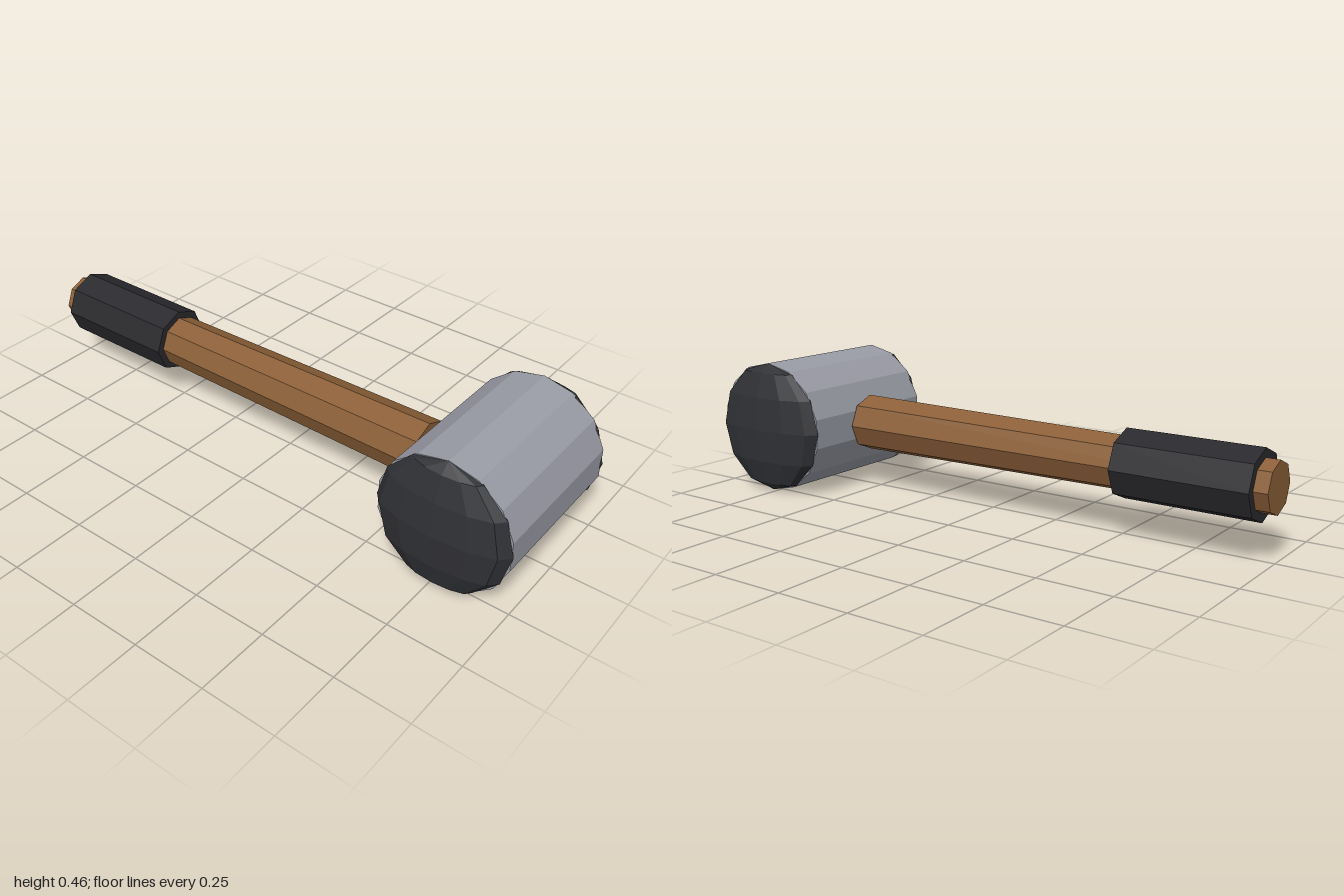
import * as THREE from 'three';

const AXIS_Y = 0.228; // height shared by the handle and head axes
const HEAD_X = 0.772;
const HEAD_R = 0.228;

function part(name, geometry, color, x, z = 0) {
  const material = new THREE.MeshStandardMaterial({ color, flatShading: true });
  const mesh = new THREE.Mesh(geometry, material);
  mesh.name = name;
  mesh.position.set(x, AXIS_Y, z);
  return mesh;
}

// Eight-sided bar along x, from x0 (radius r0) to x1 (radius r1)
function bar(name, x0, x1, r0, r1, color) {
  const geometry = new THREE.CylinderGeometry(r1, r0, x1 - x0, 8).rotateZ(-Math.PI / 2);
  return part(name, geometry, color, (x0 + x1) / 2);
}

export function createModel() {
  const mallet = new THREE.Group();
  mallet.name = 'mallet';

  // Tapered wooden handle with a rubber grip
  mallet.add(bar('handle', -1, 0.545, 0.083, 0.099, 0x8b5f38));
  mallet.add(bar('grip', -0.955, -0.503, 0.113, 0.113, 0x2a2a2e));

  // Metal head lying along z
  const head = new THREE.CylinderGeometry(HEAD_R, HEAD_R, 0.544, 14).rotateX(Math.PI / 2);
  mallet.add(part('head', head, 0x9a9ca6, HEAD_X));

  // Flattened rubber domes on both striking faces
  for (const side of [1, -1]) {
    const dome = new THREE.SphereGeometry(HEAD_R, 12, 6).scale(1, 1, 0.3);
    mallet.add(part(side > 0 ? 'frontFace' : 'backFace', dome, 0x303135, HEAD_X, side * 0.271));
  }
  return mallet;
}
